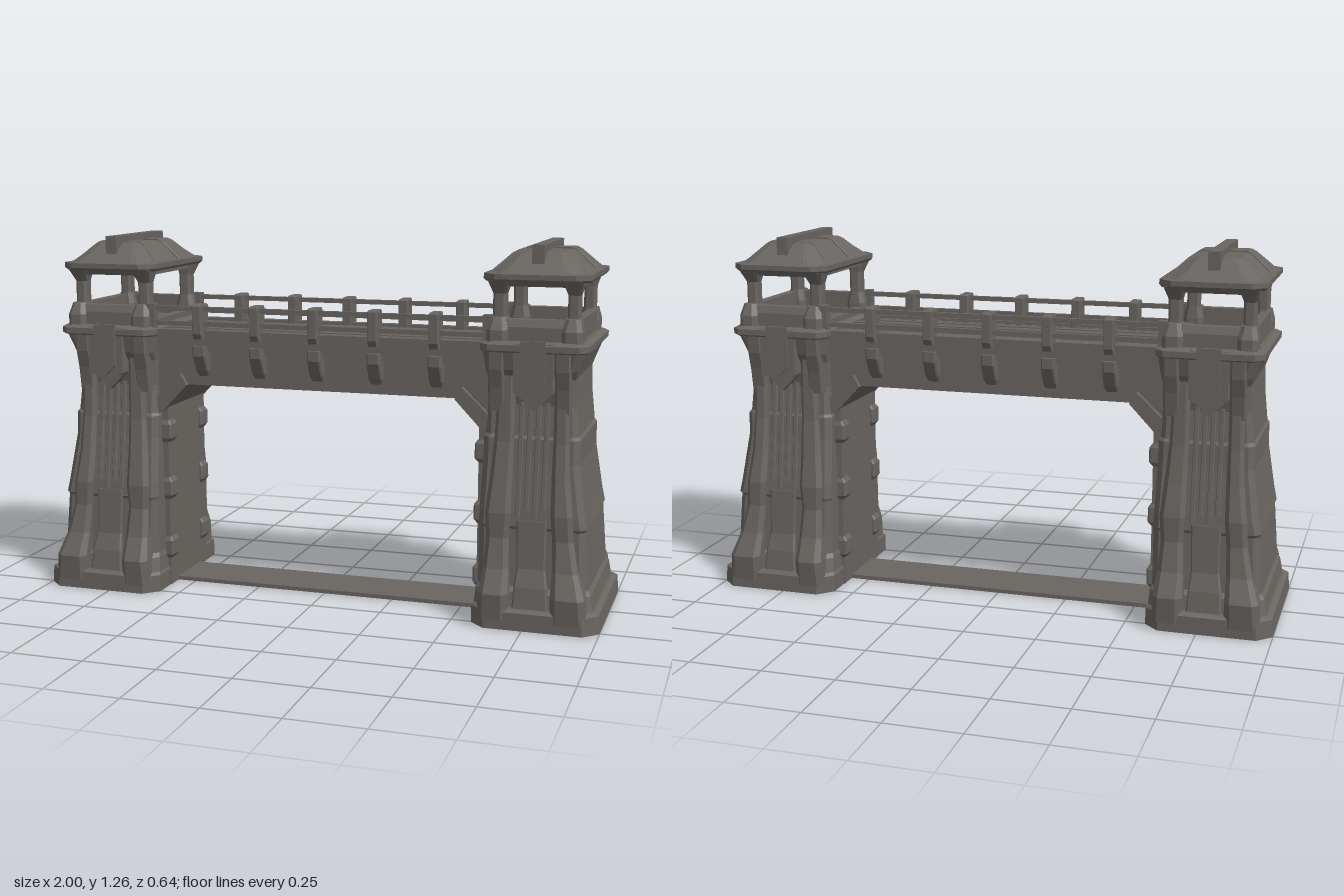
import * as THREE from 'three';

const stone = new THREE.MeshStandardMaterial({ color: 0x696561 });
stone.name = 'weathered stone';
stone.flatShading = true;

function add(parent, name, geometry, x = 0, y = 0, z = 0) {
  const mesh = new THREE.Mesh(geometry, stone);
  mesh.name = name;
  mesh.position.set(x, y, z);
  parent.add(mesh);
  return mesh;
}

// Box given by its lower and upper limits
function block(parent, name, x0, x1, y0, y1, z0, z1) {
  return add(parent, name, new THREE.BoxGeometry(x1 - x0, y1 - y0, z1 - z0),
    (x0 + x1) / 2, (y0 + y1) / 2, (z0 + z1) / 2);
}

// Solid through chamfered rectangles; rows are [y, x0, x1, z0, z1, chamfer]
function loft(rows) {
  const rings = rows.map(([y, x0, x1, z0, z1, c = 0.005]) => [
    [x1, y, z1 - c], [x1, y, z0 + c], [x1 - c, y, z0], [x0 + c, y, z0],
    [x0, y, z0 + c], [x0, y, z1 - c], [x0 + c, y, z1], [x1 - c, y, z1]]);
  const p = [];
  for (let i = 0; i + 1 < rings.length; i++) {
    for (let j = 0; j < 8; j++) {
      const k = (j + 1) % 8, a = rings[i], b = rings[i + 1];
      p.push(...a[j], ...a[k], ...b[k], ...a[j], ...b[k], ...b[j]);
    }
  }
  const low = rings[0], high = rings[rings.length - 1];
  for (let j = 1; j < 7; j++) {
    p.push(...high[0], ...high[j], ...high[j + 1]);
    p.push(...low[0], ...low[j + 1], ...low[j]);
  }
  const g = new THREE.BufferGeometry();
  g.setAttribute('position', new THREE.Float32BufferAttribute(p, 3));
  g.computeVertexNormals();
  return g;
}

// Rows [y, x0, x1, z, chamfer], equal to front and back
const symmetric = (rows) => loft(rows.map(([y, a, b, z, c]) => [y, a, b, -z, z, c]));

// Rows [y, x0, x1, zInner, zOuter, chamfer] on the front (s = 1) or back (s = -1)
const onSide = (s, rows) => loft(rows.map(([y, a, b, i, o, c]) =>
  s > 0 ? [y, a, b, i, o, c] : [y, a, b, -o, -i, c]));

// Outline in x and y, extruded between two z distances on the front or back
function plate(points, s, near, far) {
  const shape = new THREE.Shape(points.map(([x, y]) => new THREE.Vector2(x, y)));
  const g = new THREE.ExtrudeGeometry(shape, { depth: far - near, bevelEnabled: false });
  return g.translate(0, 0, s > 0 ? near : -far);
}

function createTower() {
  const t = new THREE.Group();
  t.name = 'tower';

  add(t, 'plinth', symmetric([
    [0, 0.57, 1, 0.305, 0.05], [0.06, 0.57, 0.995, 0.305, 0.05], [0.07, 0.575, 0.98, 0.295, 0.05]]));
  add(t, 'towerBody', symmetric([
    [0.06, 0.575, 0.975, 0.275, 0.03], [0.12, 0.58, 0.965, 0.265, 0.03], [0.135, 0.585, 0.955, 0.25, 0.025],
    [0.33, 0.585, 0.94, 0.24, 0.02], [0.34, 0.585, 0.945, 0.245, 0.02], [0.39, 0.585, 0.935, 0.24, 0.02],
    [0.55, 0.59, 0.912, 0.217, 0.02], [0.63, 0.59, 0.912, 0.212, 0.02], [0.64, 0.595, 0.905, 0.205, 0.02],
    [0.74, 0.6, 0.895, 0.195, 0.015], [0.83, 0.6, 0.89, 0.215, 0.02], [0.86, 0.595, 0.9, 0.238, 0.025],
    [0.93, 0.585, 0.928, 0.255, 0.03]]));
  add(t, 'cornice', symmetric([
    [0.92, 0.585, 0.93, 0.262, 0.03], [0.925, 0.58, 0.937, 0.267, 0.03],
    [0.945, 0.58, 0.937, 0.267, 0.03], [0.955, 0.595, 0.92, 0.25, 0.03]]));

  for (const s of [1, -1]) {
    // Stepped buttresses either side of the slatted panel
    add(t, 'outerButtress', onSide(s, [
      [0.03, 0.84, 0.96, 0.1, 0.308, 0.02], [0.12, 0.84, 0.953, 0.1, 0.318, 0.02],
      [0.2, 0.84, 0.925, 0.1, 0.283, 0.015], [0.3, 0.835, 0.905, 0.1, 0.262, 0.015],
      [0.385, 0.828, 0.9, 0.1, 0.266, 0.015], [0.5, 0.825, 0.885, 0.1, 0.245, 0.015],
      [0.62, 0.825, 0.878, 0.1, 0.227, 0.012], [0.86, 0.825, 0.872, 0.1, 0.222, 0.012]]));
    add(t, 'innerButtress', onSide(s, [
      [0.03, 0.595, 0.7, 0.1, 0.308, 0.02], [0.12, 0.6, 0.7, 0.1, 0.318, 0.02],
      [0.2, 0.61, 0.695, 0.1, 0.283, 0.015], [0.3, 0.615, 0.69, 0.1, 0.262, 0.015],
      [0.385, 0.61, 0.695, 0.1, 0.266, 0.015], [0.5, 0.62, 0.695, 0.1, 0.245, 0.015],
      [0.62, 0.63, 0.695, 0.1, 0.227, 0.012], [0.86, 0.64, 0.695, 0.1, 0.222, 0.012]]));
    add(t, 'panelFoot', onSide(s, [
      [0.06, 0.71, 0.83, 0.1, 0.285], [0.14, 0.715, 0.825, 0.1, 0.275],
      [0.2, 0.72, 0.815, 0.1, 0.256], [0.36, 0.715, 0.815, 0.1, 0.248]]));
    for (let i = 0; i < 4; i++) {
      const x = 0.71 + i * 0.028, low = 0.37 + 0.03 * (i % 2);
      add(t, 'slat', onSide(s, [
        [low, x, x + 0.016, 0.15, 0.252, 0.002], [0.57, x, x + 0.016, 0.15, 0.226, 0.002],
        [0.75, x, x + 0.016, 0.15, 0.206, 0.002]]));
    }

    // Pointed crest hanging from the cornice
    const crest = [[0.695, 0.95], [0.695, 0.79], [0.71, 0.78], [0.81, 0.78], [0.825, 0.79], [0.825, 0.95]];
    add(t, 'crest', plate(crest, s, 0.17, 0.262));
    const inset = [[0.72, 0.96], [0.72, 0.815], [0.76, 0.778], [0.8, 0.815], [0.8, 0.96]];
    add(t, 'crestFace', plate(inset, s, 0.262, 0.27));
    const tip = [[0.7, 0.785], [0.76, 0.725], [0.82, 0.785]];
    add(t, 'crestTip', plate(tip, s, 0.17, 0.232));
    for (const [a, b] of [[0.61, 0.66], [0.83, 0.88]]) {
      add(t, 'corniceConsole', onSide(s, [
        [0.72, a, b, 0.15, 0.222], [0.8, a, b, 0.15, 0.235],
        [0.86, a, b, 0.15, 0.252], [0.93, a, b, 0.15, 0.258]]));
    }

    // Lookout walls, corner posts and lintels
    add(t, 'parapetWall', onSide(s, [
      [0.95, 0.66, 0.86, 0.185, 0.23], [1.0, 0.66, 0.86, 0.185, 0.23], [1.025, 0.66, 0.86, 0.185, 0.22]]));
    for (const [a, b] of [[0.6, 0.67], [0.845, 0.912]]) {
      add(t, 'postBase', onSide(s, [
        [0.95, a, b, 0.15, 0.25, 0.015], [0.99, a, b, 0.15, 0.25, 0.015], [1.03, a + 0.008, b - 0.008, 0.155, 0.23, 0.015]]));
      add(t, 'lookoutPost', onSide(s, [
        [1.02, a + 0.013, b - 0.013, 0.157, 0.205, 0.008], [1.105, a + 0.013, b - 0.013, 0.157, 0.205, 0.008],
        [1.15, a, b, 0.152, 0.24, 0.01]]));
    }
    add(t, 'frontLintel', onSide(s, [[1.13, 0.63, 0.885, 0.165, 0.21], [1.15, 0.615, 0.9, 0.165, 0.225]]));
  }
  block(t, 'outerParapet', 0.872, 0.905, 0.95, 1.025, -0.19, 0.19);
  block(t, 'innerThreshold', 0.605, 0.64, 0.95, 0.975, -0.19, 0.19);
  for (const x of [0.615, 0.855]) block(t, 'sideLintel', x, x + 0.045, 1.13, 1.15, -0.17, 0.17);

  // Hipped roof with eave, ridge beam and raised panels
  add(t, 'roof', symmetric([
    [1.146, 0.59, 0.927, 0.246, 0.04], [1.155, 0.583, 0.935, 0.256, 0.045],
    [1.172, 0.583, 0.935, 0.256, 0.045], [1.174, 0.605, 0.912, 0.235, 0.04],
    [1.235, 0.67, 0.847, 0.15, 0.03], [1.24, 0.685, 0.832, 0.14, 0.025]]));
  block(t, 'ridgeBeam', 0.738, 0.778, 1.17, 1.265, -0.2, 0.2);
  for (const s of [1, -1]) {
    add(t, 'endRoofPanel', onSide(s, [
      [1.175, 0.655, 0.862, 0.1, 0.24, 0.003], [1.238, 0.695, 0.823, 0.1, 0.152, 0.003]]));
    add(t, 'sideRoofPanel', onSide(s, [
      [1.175, 0.597, 0.919, 0.03, 0.165, 0.003], [1.235, 0.662, 0.854, 0.03, 0.125, 0.003],
      [1.244, 0.68, 0.838, 0.03, 0.12, 0.003]]));
  }

  // Inner gateway jamb with studs along its corners
  block(t, 'gateJamb', 0.567, 0.62, 0, 0.66, -0.165, 0.165);
  for (const s of [1, -1]) for (const y of [0.14, 0.36, 0.57]) {
    add(t, 'jambStud', onSide(s, [
      [y - 0.04, 0.565, 0.6, 0.115, 0.165], [y - 0.025, 0.554, 0.6, 0.11, 0.172],
      [y + 0.025, 0.554, 0.6, 0.11, 0.172], [y + 0.04, 0.565, 0.6, 0.115, 0.165]]));
  }
  return t;
}

function createBridge() {
  const b = new THREE.Group();
  b.name = 'bridge';

  // Main span with angled haunches
  add(b, 'span', plate([[-0.61, 0.9], [-0.61, 0.63], [-0.575, 0.65], [-0.485, 0.745],
    [0.485, 0.745], [0.575, 0.65], [0.61, 0.63], [0.61, 0.9]], 1, -0.165, 0.165));
  block(b, 'deck', -0.62, 0.62, 0.87, 0.93, -0.19, 0.19);
  for (let i = 0; i < 11; i++) {
    const z = -0.176 + i * 0.032;
    block(b, 'deckPlank', -0.61, 0.61, 0.925, 0.934 + 0.003 * (i % 2), z, z + 0.029);
  }

  for (const s of [1, -1]) {
    const strip = (name, x0, x1, y0, y1, near, far) =>
      block(b, name, x0, x1, y0, y1, Math.min(s * near, s * far), Math.max(s * near, s * far));
    strip('edgeBeam', -0.61, 0.61, 0.885, 0.935, 0.16, 0.203);
    strip('edgeLip', -0.61, 0.61, 0.93, 0.945, 0.175, 0.208);
    strip('lowerMoulding', -0.61, 0.61, 0.862, 0.885, 0.15, 0.185);
    for (const y of [0.968, 1.02]) strip('handrail', -0.62, 0.62, y - 0.008, y + 0.008, 0.198, 0.214);

    // Raised rib following the haunches
    for (const m of [1, -1]) {
      const rib = [[0.575, 0.65], [0.485, 0.745], [0.51, 0.785], [0.61, 0.69], [0.61, 0.63]]
        .map(([x, y]) => [m * x, y]);
      add(b, 'haunchRib', plate(rib, s, 0.16, 0.185));
      strip('endRailPost', m * 0.6 - 0.015, m * 0.6 + 0.015, 0.93, 1.035, 0.19, 0.225);
    }

    for (let i = -2; i <= 2; i++) {
      const x = i * 0.211;
      add(b, 'railPost', onSide(s, [
        [0.915, x - 0.016, x + 0.016, 0.175, 0.225, 0.002], [0.935, x - 0.016, x + 0.016, 0.165, 0.237, 0.002],
        [1.032, x - 0.016, x + 0.016, 0.165, 0.237, 0.002], [1.037, x - 0.014, x + 0.014, 0.17, 0.232, 0.002]]));
      add(b, 'corbel', onSide(s, [
        [0.78, x - 0.018, x + 0.018, 0.15, 0.178], [0.8, x - 0.023, x + 0.023, 0.15, 0.195],
        [0.855, x - 0.023, x + 0.023, 0.15, 0.222], [0.89, x - 0.023, x + 0.023, 0.15, 0.222]]));
    }
  }
  return b;
}

export function createModel() {
  const model = new THREE.Group();
  model.name = 'gatehouseBridge';

  const left = createTower();
  left.name = 'leftTower';
  const right = createTower();
  right.name = 'rightTower';
  right.rotation.y = Math.PI;
  model.add(left, right, createBridge());

  // Threshold slab joining the towers at ground level
  block(model, 'groundSlab', -0.6, 0.6, 0, 0.014, -0.1, 0.1);
  return model;
}
